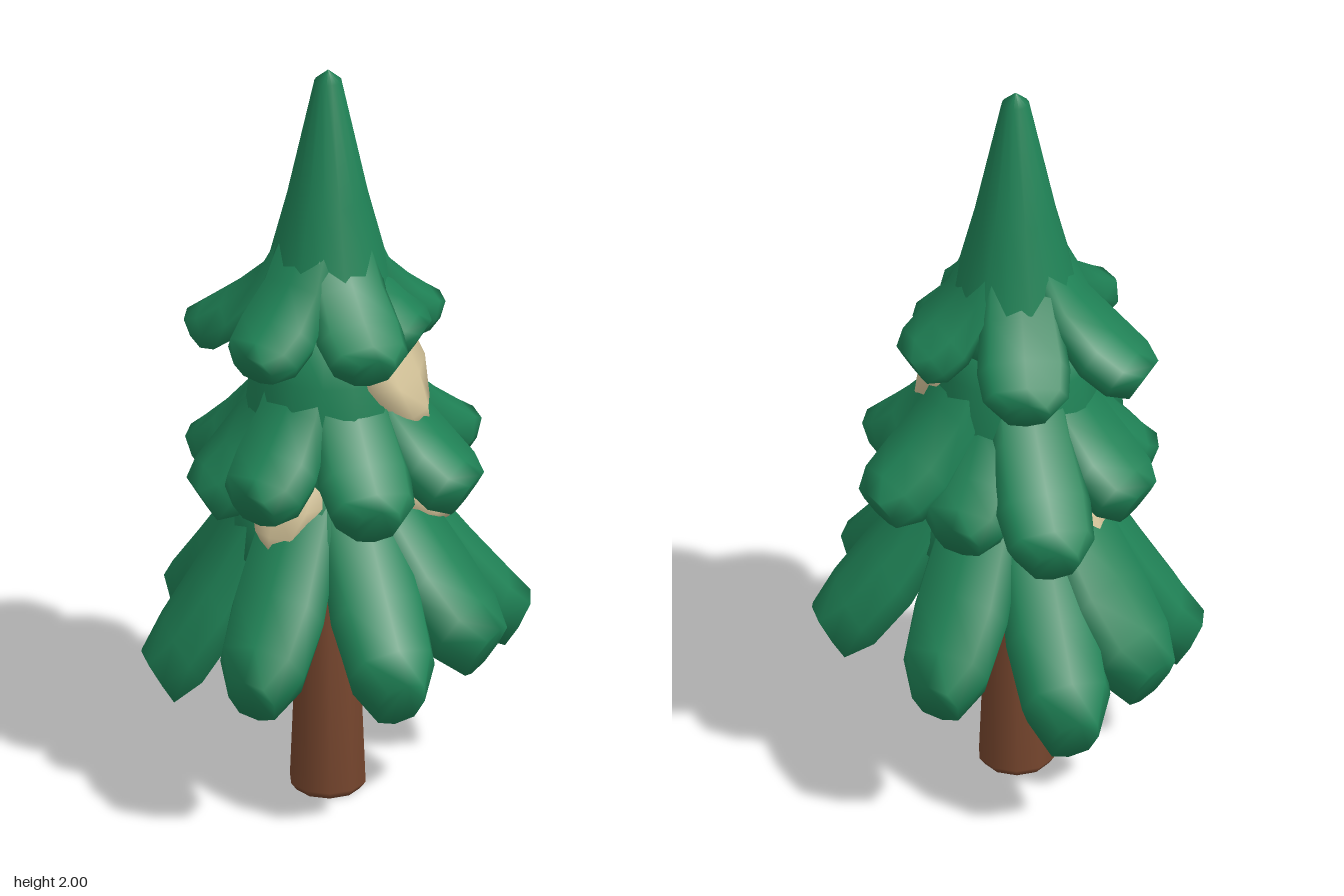
import * as THREE from 'three';

const paint = (name, color) => {
  const m = new THREE.MeshStandardMaterial({ color });
  m.name = name;
  return m;
};

const lerp = THREE.MathUtils.lerp;
const boxy = (v) => Math.sign(v) * Math.abs(v) ** 0.75;

// Solid swept outwards from the trunk axis through rounded box sections,
// each running from a top point to an under point with a half width.
function sweep(angleDeg, stations, sides = 8) {
  const a = THREE.MathUtils.degToRad(angleDeg), c = Math.cos(a), s = Math.sin(a);
  const pos = [], index = [];
  for (const { r, y, underR, underY, width } of stations) {
    for (let k = 0; k < sides; k++) {
      const phi = (k / sides) * Math.PI * 2, f = (1 - boxy(Math.cos(phi))) / 2;
      const u = lerp(r, underR, f), t = width * boxy(Math.sin(phi));
      pos.push(u * c - t * s, lerp(y, underY, f), u * s + t * c);
    }
  }
  for (let i = 0; i < stations.length - 1; i++) {
    for (let k = 0; k < sides; k++) {
      const p = i * sides + k, q = i * sides + (k + 1) % sides;
      index.push(p, q, p + sides, q, q + sides, p + sides);
    }
  }
  // Softly shaded end
  const last = (stations.length - 1) * sides;
  for (let k = 1; k < sides - 1; k++) index.push(last, last + k, last + k + 1);
  const g = new THREE.BufferGeometry();
  g.setAttribute('position', new THREE.Float32BufferAttribute(pos, 3));
  g.setIndex(index);
  g.computeVertexNormals();
  return g;
}

const lathe = (profile, sides) =>
  new THREE.LatheGeometry(profile.map(([r, y]) => new THREE.Vector2(r, y)), sides);

const addMesh = (parent, name, geometry, material) => {
  const mesh = new THREE.Mesh(geometry, material);
  mesh.name = name;
  parent.add(mesh);
  return mesh;
};

// Shares along a lobe: outward run, width, thickness
const lobeShares = [[0, 0.7, 0.55], [0.3, 0.88, 0.8], [0.62, 1, 1], [0.85, 0.92, 1], [1, 0.5, 0.9]];

// Lobe that leaves the core steeply and flares out; a lower flare exponent bends it more
function lobe(angle, tipR, tipY, tier) {
  return sweep(angle, lobeShares.map(([out, w, thick]) => {
    const r = lerp(tier.rootR, tipR, out);
    const y = lerp(tier.rootY, tipY, out ** tier.flare);
    return {
      r, y, width: tier.width * w,
      underR: r - tier.thickness * 0.6 * thick, underY: y - tier.thickness * thick,
    };
  }));
}

// Core with drooping lobes around it; core points are [radius, y], tips are [angle, radius, y]
function addTier(parent, name, material, tier, core, tips) {
  const group = new THREE.Group();
  group.name = name;
  parent.add(group);
  addMesh(group, 'foliageCore', lathe(core, 16), material);
  for (const [angle, r, y] of tips) addMesh(group, 'branchLobe', lobe(angle, r, y, tier), material);
  return group;
}

// Shares down a patch: outward run, drop, width
const patchShares = [[0, 0, 0.9], [0.65, 0.45, 1], [0.93, 0.8, 0.65], [1, 1, 0.2]];

// Pale patch that hugs the foliage and narrows to its lower end
function patch(angle, topR, topY, lowR, lowY, width) {
  return sweep(angle, patchShares.map(([out, drop, w]) => {
    const r = lerp(topR, lowR, out), y = lerp(topY, lowY, drop);
    return { r, y, underR: r - 0.16, underY: y, width: width * w };
  }));
}

export function createModel() {
  const green = paint('needleGreen', 0x1f8256);
  const brown = paint('barkBrown', 0x75452d);
  const cream = paint('paleCream', 0xd8c79c);
  const tree = new THREE.Group();
  tree.name = 'pineTree';

  // Tapered trunk with a softened foot
  const trunk = addMesh(tree, 'trunk',
    lathe([[0, 0], [0.085, 0], [0.1, 0.02], [0.075, 0.62], [0, 0.9]], 10), brown);
  trunk.position.x = -0.01;

  addTier(tree, 'lowerBranches', green,
    { rootR: 0.11, rootY: 1.05, flare: 0.87, width: 0.13, thickness: 0.16 },
    [[0, 0.59], [0.2, 0.61], [0.27, 0.7], [0.25, 0.8], [0.17, 1], [0, 1.1]],
    [[-103, 0.51, 0.48], [-73, 0.51, 0.39], [-28, 0.51, 0.49], [28, 0.52, 0.5],
      [69, 0.5, 0.55], [106, 0.5, 0.49], [155, 0.51, 0.5], [210, 0.49, 0.41]]);

  addTier(tree, 'middleBranches', green,
    { rootR: 0.13, rootY: 1.29, flare: 0.62, width: 0.125, thickness: 0.125 },
    [[0, 0.86], [0.19, 0.88], [0.24, 0.98], [0.2, 1.2], [0.17, 1.32], [0, 1.4]],
    [[3, 0.45, 0.94], [61, 0.41, 0.94], [110, 0.4, 0.94], [162, 0.4, 0.97],
      [201, 0.38, 0.91], [246, 0.4, 0.93], [292, 0.47, 0.88], [331, 0.38, 0.89]]);

  const top = addTier(tree, 'topBranches', green,
    { rootR: 0.085, rootY: 1.6, flare: 0.56, width: 0.12, thickness: 0.105 },
    [[0, 1.24], [0.15, 1.25], [0.185, 1.33], [0.165, 1.42], [0.105, 1.65], [0.035, 1.97], [0, 2]],
    [[12, 0.32, 1.31], [57, 0.27, 1.32], [106, 0.33, 1.32],
      [166, 0.35, 1.32], [238, 0.38, 1.27], [301, 0.34, 1.27]]);
  top.position.set(0.013, 0, -0.027);

  // Pale patches showing between the tiers
  const patches = [
    patch(55, 0.18, 1.31, 0.265, 1.04, 0.15),
    patch(45, 0.2, 0.97, 0.305, 0.77, 0.155),
    patch(-107, 0.19, 0.97, 0.3, 0.66, 0.13),
    patch(163, 0.2, 0.97, 0.29, 0.76, 0.11),
  ];
  for (const geometry of patches) addMesh(tree, 'palePatch', geometry, cream);
  return tree;
}
